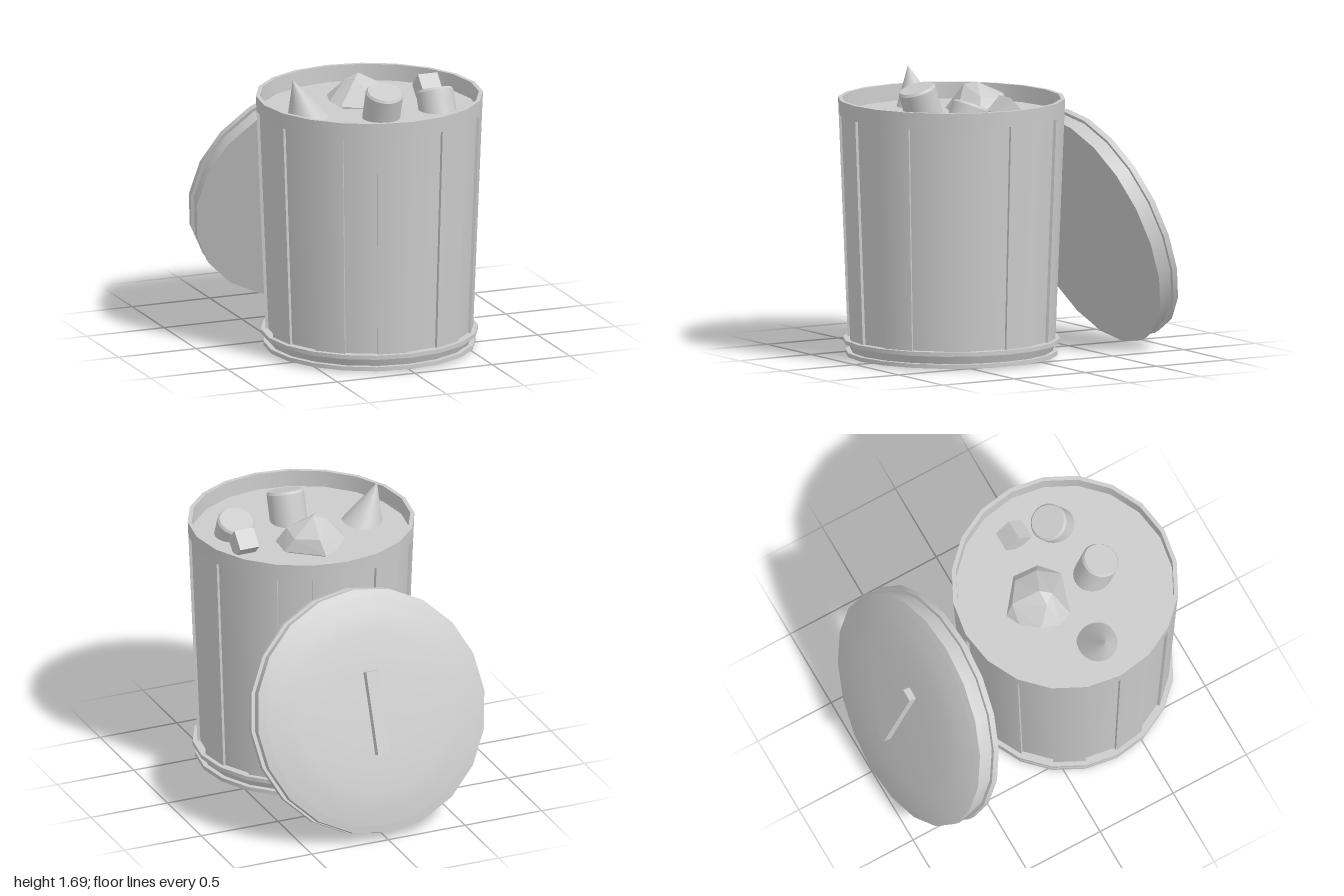
import * as THREE from 'three';
import { mergeGeometries } from 'three/addons/utils/BufferGeometryUtils.js';
import { ConvexGeometry } from 'three/addons/geometries/ConvexGeometry.js';

const SIDES = 20;
const STEP = (Math.PI * 2) / SIDES;
const grey = new THREE.MeshStandardMaterial({ color: 0xcccccc });
const thin = new THREE.MeshStandardMaterial({ color: 0xcccccc, side: THREE.DoubleSide });
const faceted = new THREE.MeshStandardMaterial({ color: 0xcccccc, flatShading: true });

// Turned surface, smooth around the axis but with a sharp edge at every profile point
function turned(profile, sides = SIDES, start = 0, length = Math.PI * 2) {
  const parts = [];
  for (let i = 0; i < profile.length - 1; i++) {
    const pair = [profile[i], profile[i + 1]].map(([r, y]) => new THREE.Vector2(r, y));
    parts.push(new THREE.LatheGeometry(pair, sides, start, length));
  }
  return mergeGeometries(parts);
}

function add(parent, name, geometry, material = grey, position = [0, 0, 0], rotation = [0, 0, 0]) {
  const mesh = new THREE.Mesh(geometry, material);
  mesh.name = name;
  mesh.position.set(...position);
  mesh.rotation.set(...rotation);
  parent.add(mesh);
  return mesh;
}

// Both side walls of a recess, joining the outer and the inset surface
function recessWalls(start, end, outer, depth) {
  const pos = [];
  for (const a of [start, end]) {
    const at = (r, y) => [Math.sin(a) * r, y, Math.cos(a) * r];
    const [[r0, y0], [r1, y1]] = outer;
    const p = [at(r0 - depth, y0), at(r0, y0), at(r1, y1), at(r1 - depth, y1)];
    const order = a === start ? [0, 1, 2, 0, 2, 3] : [0, 2, 1, 0, 3, 2];
    for (const i of order) pos.push(...p[i]);
  }
  const g = new THREE.BufferGeometry();
  g.setAttribute('position', new THREE.Float32BufferAttribute(pos, 3));
  g.computeVertexNormals();
  return g;
}

function makeBin() {
  const bin = new THREE.Group();
  bin.name = 'bin';
  bin.position.set(-0.01, 0, 0.315);

  // Foot with two projecting hoops and a shallow hollow underneath
  add(bin, 'foot', turned([
    [0, 0.04], [0.62, 0.04], [0.625, 0.02], [0.635, 0.02], [0.635, 0.045], [0.605, 0.045],
    [0.625, 0.095], [0.65, 0.095], [0.65, 0.12], [0.6, 0.12],
  ]));

  // Wall: plain facets alternate with recessed ones
  const outer = [[0.622, 0.12], [0.676, 1.47]];
  const depth = 0.018;
  const inset = [...outer.map(([r, y]) => [r - depth, y]), outer[1]];
  for (let i = 0; i < SIDES; i++) {
    const a = i * STEP;
    if (i % 2) {
      add(bin, 'wallPanel', turned(outer, 1, a, STEP));
    } else {
      add(bin, 'recessedPanel', turned(inset, 1, a, STEP));
      add(bin, 'recessWalls', recessWalls(a, a + STEP, outer, depth), thin);
    }
  }

  // Rim, inner wall and the level of the contents
  add(bin, 'rim', turned([[0.676, 1.47], [0.68, 1.565], [0.655, 1.565], [0.652, 1.465]]));
  add(bin, 'contentsSurface', turned([[0.653, 1.465], [0, 1.465]]));
  return bin;
}

function makeLid() {
  const lid = new THREE.Group();
  lid.name = 'lid';
  lid.position.set(0, 0.7, -0.62);
  lid.rotation.x = -1.212;
  add(lid, 'lidRim', turned([
    [0, 0], [0.74, 0], [0.74, 0.037], [0.718, 0.037],
    [0.718, 0.1], [0.74, 0.1], [0.737, 0.136], [0.69, 0.15],
  ]));
  // Shallow dome, smooth in both directions
  const dome = [[0.69, 0.15], [0.6, 0.172], [0.48, 0.193], [0.25, 0.2], [0, 0.203]];
  add(lid, 'lidDome', new THREE.LatheGeometry(dome.map(([r, y]) => new THREE.Vector2(r, y)), SIDES));
  add(lid, 'lidHandle', new THREE.BoxGeometry(0.08, 0.06, 0.5), grey, [0, 0.217, -0.005]);
  return lid;
}

function makeRubbish() {
  const rubbish = new THREE.Group();
  rubbish.name = 'rubbish';

  // Tilted cone, placed by its tip
  const cone = turned([[0, -0.28], [0.133, -0.28], [0, 0]], 24);
  add(rubbish, 'cone', cone, grey, [-0.505, 1.7, 0.315], [0, 0, 0.34]);

  // Two tins with bevelled tops, placed by the centre of the top
  const tin = turned([[0, -0.24], [0.113, -0.24], [0.113, -0.015], [0.102, 0], [0, 0]], 24);
  add(rubbish, 'frontTin', tin, grey, [-0.012, 1.64, 0.56], [0.31, 0, 0]);
  add(rubbish, 'sideTin', tin, grey, [0.37, 1.578, 0.41], [-0.39, 0, 0]);

  // Small carton resting on an edge
  add(rubbish, 'carton', new THREE.BoxGeometry(0.125, 0.125, 0.125), grey,
    [0.412, 1.527, 0.202], [Math.PI / 4, 0, 0]);

  // Angular lump
  const lump = [
    [0, 1.48, -0.08], [-0.09, 1.49, -0.04], [-0.18, 1.51, 0.06], [-0.21, 1.5, 0.17],
    [-0.17, 1.48, 0.26], [0.08, 1.47, 0.34], [0.19, 1.48, 0.24], [0.2, 1.48, 0.08],
    [0.02, 1.57, -0.03], [-0.01, 1.65, 0.14], [-0.1, 1.615, 0.14], [-0.055, 1.635, 0.2],
    [0.135, 1.575, 0.2], [0.145, 1.56, 0.06], [0, 1.38, 0.12],
  ];
  add(rubbish, 'lump', new ConvexGeometry(lump.map((p) => new THREE.Vector3(...p))), faceted);
  return rubbish;
}

export function createModel() {
  const model = new THREE.Group();
  model.name = 'rubbishBin';
  model.add(makeBin(), makeLid(), makeRubbish());
  return model;
}
